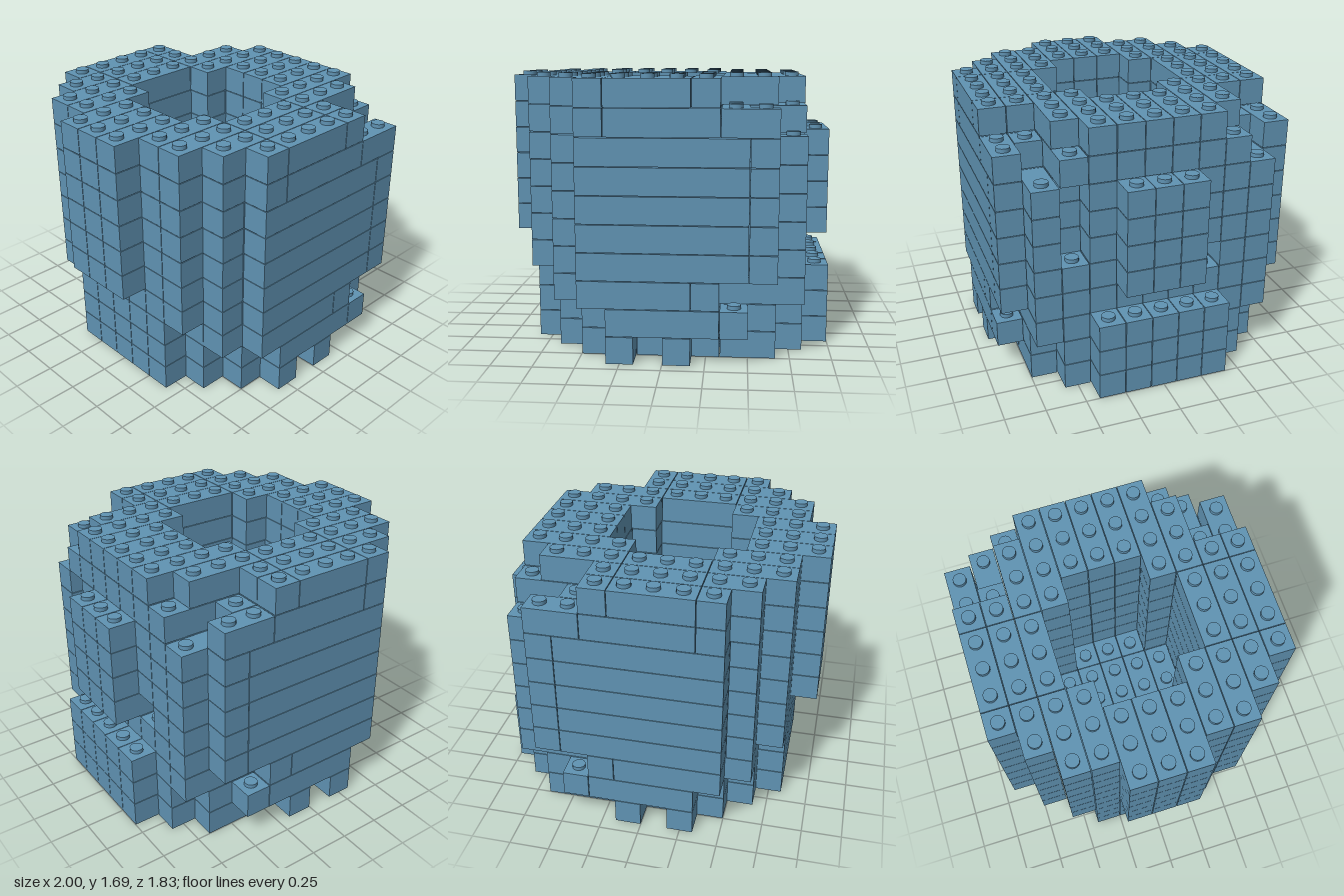
import * as THREE from 'three';

const U = 1 / 6;      // one brick unit, also the course height
const GAP = 0.002;    // hairline joint around each brick
const COURSES = 10, ROWS = 11, COLS = 12;

// Filled column ranges by distance of the row from the middle row:
// [first course, last course, first column, last column]
const RANGES = {
  0: [[1, 3, 1, 11], [4, 4, 1, 10], [5, 8, 0, 11], [9, 10, 0, 10]],
  2: [[1, 3, 1, 11], [4, 10, 1, 10]],
  3: [[1, 3, 2, 10], [4, 9, 1, 10], [10, 10, 1, 9]],
  4: [[1, 2, 3, 9], [3, 8, 2, 10], [9, 9, 2, 8], [10, 10, 2, 7]],
  5: [[1, 1, 4, 4], [1, 1, 6, 6], [2, 2, 4, 8], [3, 3, 3, 7], [4, 9, 3, 9], [10, 10, 3, 7]],
};
RANGES[1] = RANGES[0];

// Column boundaries where bricks meet, by course
const JOINTS = {
  1: [5, 8], 2: [4, 8], 3: [7], 4: [3, 9], 5: [3, 9],
  6: [3, 9], 7: [3, 9], 8: [3, 9], 9: [4, 8], 10: [4, 7],
};

function filled(course, row, col) {
  if (course < 1 || course > COURSES) return false;
  const d = Math.abs(row - 5);
  const inside = RANGES[d].some(([a, b, c0, c1]) => course >= a && course <= b && col >= c0 && col <= c1);
  if (!inside) return false;
  // central well
  if (course >= 4 && d <= 1 && col >= 3 && col <= 7) return false;
  if (course >= 4 && d === 2 && col >= 4 && col <= 6) return false;
  // missing single bricks on the open side
  if (row === 8 && col === 10 && course >= 6 && course <= 8) return false;
  if (row === 3 && col === 10 && course === 5) return false;
  return true;
}

export function createModel() {
  const model = new THREE.Group();
  const blue = new THREE.MeshStandardMaterial({ color: 0x6093b3 });
  blue.name = 'steel blue';

  const boxes = {};
  const brickGeometry = (n) => (boxes[n] ??= new THREE.BoxGeometry(n * U - 2 * GAP, U - 2 * GAP, U - 2 * GAP));
  const studGeometry = new THREE.CylinderGeometry(0.041, 0.041, 0.024, 20);
  const xAt = (c) => -1 + c * U;
  const zAt = (r) => (r - 5) * U;

  for (let course = 1; course <= COURSES; course++) {
    const layer = new THREE.Group();
    layer.name = `course${course}`;
    for (let row = 0; row < ROWS; row++) {
      // bricks: runs of filled cells, cut at the joints
      let start = -1;
      for (let col = 0; col <= COLS; col++) {
        const full = col < COLS && filled(course, row, col);
        if (start >= 0 && (!full || JOINTS[course].includes(col))) {
          const brick = new THREE.Mesh(brickGeometry(col - start), blue);
          brick.name = 'brick';
          brick.position.set(xAt((start + col) / 2), (course - 0.5) * U, zAt(row));
          layer.add(brick);
          start = -1;
        }
        if (full && start < 0) start = col;
      }
      // studs on every uncovered brick top, except the two plain recesses
      for (let col = 0; col < COLS; col++) {
        const plain = col === 9 && Math.abs(row - 5) === 4;
        if (plain || !filled(course, row, col) || filled(course + 1, row, col)) continue;
        const stud = new THREE.Mesh(studGeometry, blue);
        stud.name = 'stud';
        stud.position.set(xAt(col + 0.5), course * U + 0.01, zAt(row));
        layer.add(stud);
      }
    }
    model.add(layer);
  }
  return model;
}
